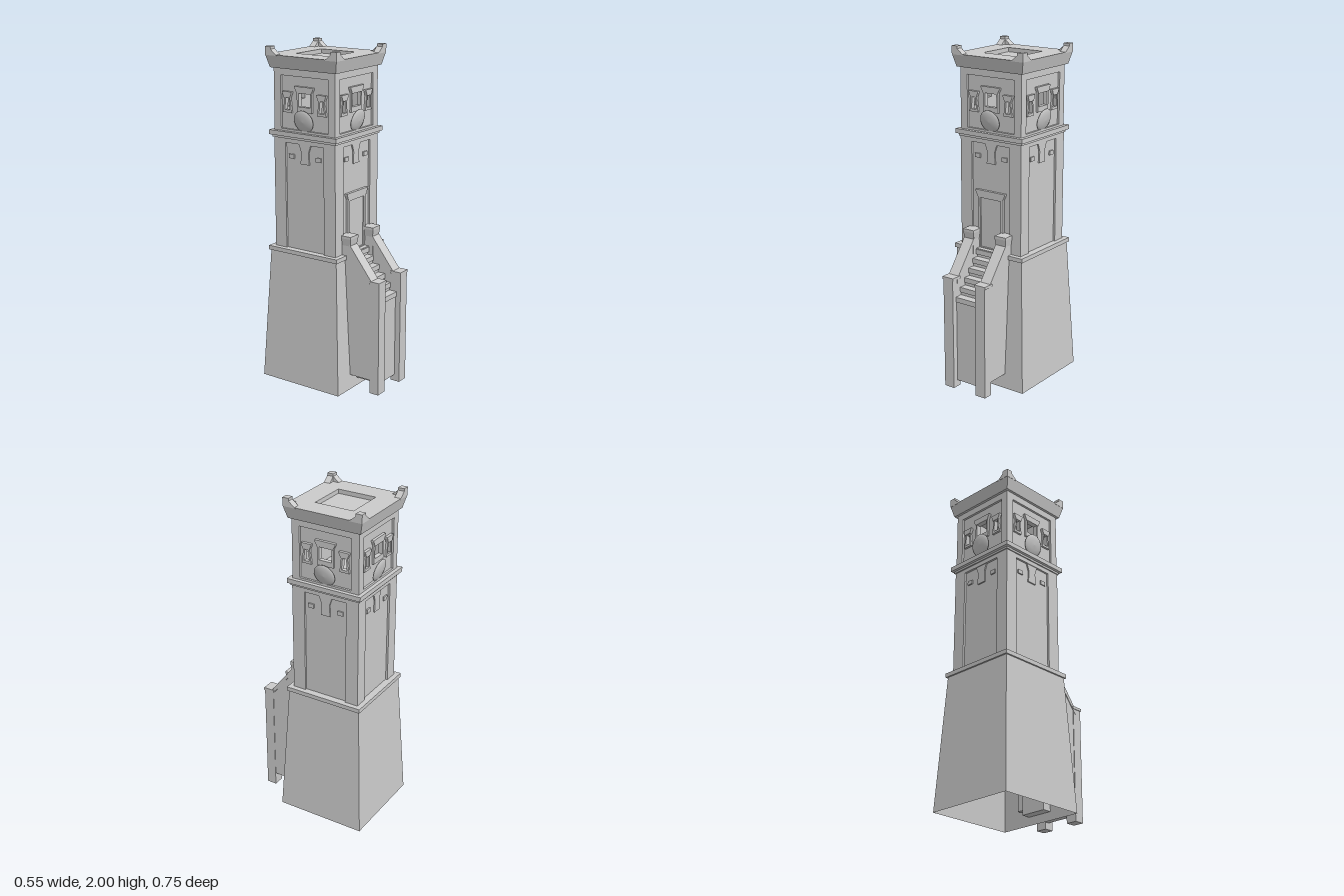
import * as THREE from 'three';

const material = new THREE.MeshStandardMaterial({ color: 0xcccccc, flatShading: true, side: THREE.DoubleSide });
const smooth = new THREE.MeshStandardMaterial({ color: 0xcccccc, side: THREE.DoubleSide });

function add(parent, name, geometry, x = 0, y = 0, z = 0, mat = material) {
  const mesh = new THREE.Mesh(geometry, mat);
  mesh.name = name;
  mesh.position.set(x, y, z);
  parent.add(mesh);
  return mesh;
}

// Box given by its limits on each axis
function box(parent, name, x0, x1, y0, y1, z0, z1) {
  return add(parent, name, new THREE.BoxGeometry(x1 - x0, y1 - y0, z1 - z0),
    (x0 + x1) / 2, (y0 + y1) / 2, (z0 + z1) / 2);
}

// Square solid of revolution: profile of [half width, height]
function squareLathe(parent, name, profile, x = 0, z = 0) {
  const points = profile.map(([h, y]) => new THREE.Vector2(h * Math.SQRT2, y));
  const geometry = new THREE.LatheGeometry(points, 4, Math.PI / 4).toNonIndexed();
  geometry.computeVertexNormals();
  return add(parent, name, geometry, x, 0, z);
}

const rect = (x0, x1, y0, y1) => [[x0, y0], [x1, y0], [x1, y1], [x0, y1]];

// Flat outline with holes, extruded from z0 to z1
function slab(parent, name, outline, holes, z0, z1) {
  const toPoints = (list) => list.map(([x, y]) => new THREE.Vector2(x, y));
  const shape = new THREE.Shape(toPoints(outline));
  for (const hole of holes) shape.holes.push(new THREE.Path(toPoints(hole)));
  const geometry = new THREE.ExtrudeGeometry(shape, { depth: z1 - z0, bevelEnabled: false });
  return add(parent, name, geometry, 0, 0, z0);
}

// Lintel that widens towards the top
function lintel(parent, x, w0, w1, y0, y1, z0, z1) {
  slab(parent, 'lintel', [[x - w0, y0], [x + w0, y0], [x + w1, y1 - 0.008], [x + w1, y1], [x - w1, y1], [x - w1, y1 - 0.008]], [], z0, z1);
}

// One face of the tower, seen along +z
function towerSide() {
  const side = new THREE.Group();
  side.name = 'towerSide';

  // Shaft frame around a sunken panel
  slab(side, 'shaftFrame', rect(-0.215, 0.215, 0.82, 1.5), [rect(-0.135, 0.135, 0.825, 1.455)], 0.2, 0.215);

  // Hanging keystone and its small brackets
  slab(side, 'keystone', [[-0.03, 1.34], [0.03, 1.34], [0.026, 1.41], [0.042, 1.455], [-0.042, 1.455], [-0.026, 1.41]], [], 0.2, 0.211);
  for (const s of [-1, 1]) {
    box(side, 'bracket', s * 0.095 - 0.018, s * 0.095 + 0.018, 1.365, 1.39, 0.2, 0.211);
  }

  // Lantern room frame and pierced wall
  const sideHole = (s) => [[s * 0.12 - 0.017, 1.645], [s * 0.12 + 0.017, 1.645], [s * 0.12 + 0.011, 1.715], [s * 0.12 - 0.011, 1.715]];
  const centreHole = rect(-0.04, 0.04, 1.67, 1.748);
  slab(side, 'roomFrame', rect(-0.213, 0.213, 1.51, 1.89), [rect(-0.165, 0.165, 1.535, 1.84)], 0.19, 0.213);
  slab(side, 'roomWall', rect(-0.2, 0.2, 1.51, 1.89), [centreHole, sideHole(-1), sideHole(1)], 0.185, 0.2);

  // Window surrounds
  slab(side, 'centreWindowFrame', rect(-0.052, 0.052, 1.64, 1.752), [centreHole], 0.19, 0.212);
  lintel(side, 0, 0.05, 0.065, 1.748, 1.785, 0.19, 0.217);
  for (const s of [-1, 1]) {
    const x = s * 0.12;
    slab(side, 'sideWindowFrame', [[x - 0.03, 1.63], [x + 0.03, 1.63], [x + 0.02, 1.72], [x - 0.02, 1.72]], [sideHole(s)], 0.19, 0.212);
    lintel(side, x, 0.021, 0.032, 1.715, 1.75, 0.19, 0.217);
  }

  // Shallow domed disc leaning outwards at the top
  const domeProfile = [[0, -0.008], [0.066, -0.004], [0.066, 0], [0.052, 0.006], [0.03, 0.011], [0, 0.013]]
    .map(([r, y]) => new THREE.Vector2(r, y));
  const disc = add(side, 'disc', new THREE.LatheGeometry(domeProfile, 32), 0, 1.59, 0.221, smooth);
  disc.rotation.x = Math.PI / 2 + 0.22;
  return side;
}

export function createModel() {
  const model = new THREE.Group();
  model.name = 'watchTower';

  const tower = new THREE.Group();
  tower.name = 'tower';
  tower.position.z = -0.1;
  model.add(tower);

  // Tapered plinth, open below
  squareLathe(tower, 'plinth', [[0.277, 0], [0.235, 0.805]]);
  box(tower, 'plinthBand', -0.245, 0.245, 0.8, 0.825, -0.245, 0.245);
  box(tower, 'shaft', -0.203, 0.203, 0.82, 1.5, -0.203, 0.203);
  squareLathe(tower, 'roomBand', [[0, 1.48], [0.222, 1.48], [0.222, 1.492], [0.236, 1.495], [0.236, 1.522], [0, 1.522]]);

  for (let i = 0; i < 4; i++) {
    const side = towerSide();
    side.rotation.y = i * Math.PI / 2;
    tower.add(side);
  }

  // Flared roof with a square sunken well
  squareLathe(tower, 'roof', [[0, 1.88], [0.228, 1.88], [0.247, 1.955], [0.12, 1.955], [0.12, 1.93], [0, 1.93]]);

  // Upturned roof corners, two wings meeting at each
  const wing = [[0.165, 1.95], [0.247, 1.95], [0.247, 2], [0.208, 2], [0.208, 1.985]];
  for (let i = 0; i < 4; i++) {
    const corner = new THREE.Group();
    corner.name = 'roofCorner';
    corner.rotation.y = i * Math.PI / 2;
    slab(corner, 'cornerWing', wing, [], 0.208, 0.247);
    slab(corner, 'cornerWing', wing.map(([x, y]) => [-x, y]).reverse(), [], 0.208, 0.247);
    tower.add(corner);
  }

  // Door with a flared lintel
  slab(tower, 'doorFrame', rect(-0.09, 0.09, 0.82, 1.145), [rect(-0.074, 0.074, 0.83, 1.13)], 0.2, 0.217);
  box(tower, 'door', -0.076, 0.076, 0.825, 1.135, 0.2, 0.208);
  lintel(tower, 0, 0.09, 0.105, 1.138, 1.177, 0.2, 0.221);

  // Staircase
  const stairs = new THREE.Group();
  stairs.name = 'stairs';
  model.add(stairs);
  const treads = [[0.345, 0.58], [0.302, 0.628], [0.262, 0.676], [0.222, 0.724], [0.182, 0.772]];
  box(stairs, 'stairBlock', -0.082, 0.082, 0.05, 0.555, 0.12, 0.338);
  for (const [z, y] of treads) {
    box(stairs, 'riser', -0.082, 0.082, 0.54, y - 0.01, 0.12, z - 0.007);
    box(stairs, 'tread', -0.082, 0.082, y - 0.03, y, 0.12, z);
  }
  box(stairs, 'landing', -0.082, 0.082, 0.79, 0.82, 0.1, 0.15);

  // Extrude a [z, y] outline across x
  const across = (name, outline, x0, x1) => {
    const mesh = slab(stairs, name, outline.map(([z, y]) => [-z, y]), [], 0, x1 - x0);
    mesh.rotation.y = Math.PI / 2;
    mesh.position.set(x0, 0, 0);
  };

  for (const s of [-1, 1]) {
    const c = s * 0.115;
    // Balustrade and sloping handrail
    across('balustrade', [[0.33, 0.09], [0.33, 0.66], [0.165, 0.875], [0.15, 0.875], [0.15, 0.09]], c - 0.031, c + 0.031);
    across('handrail', [[0.33, 0.655], [0.33, 0.688], [0.165, 0.9], [0.165, 0.867]], c - 0.035, c + 0.035);
    // Lower post with a thin cap, upper post with a flared cap
    box(stairs, 'lowerPost', c - 0.034, c + 0.034, 0.01, 0.69, 0.312, 0.372);
    box(stairs, 'lowerPostCap', c - 0.039, c + 0.039, 0.687, 0.703, 0.305, 0.375);
    box(stairs, 'upperPost', c - 0.032, c + 0.032, 0.25, 0.89, 0.112, 0.174);
    squareLathe(stairs, 'upperPostCap', [[0, 0.885], [0.033, 0.885], [0.039, 0.927], [0.039, 0.942], [0, 0.942]], c, 0.14);
  }
  return model;
}
